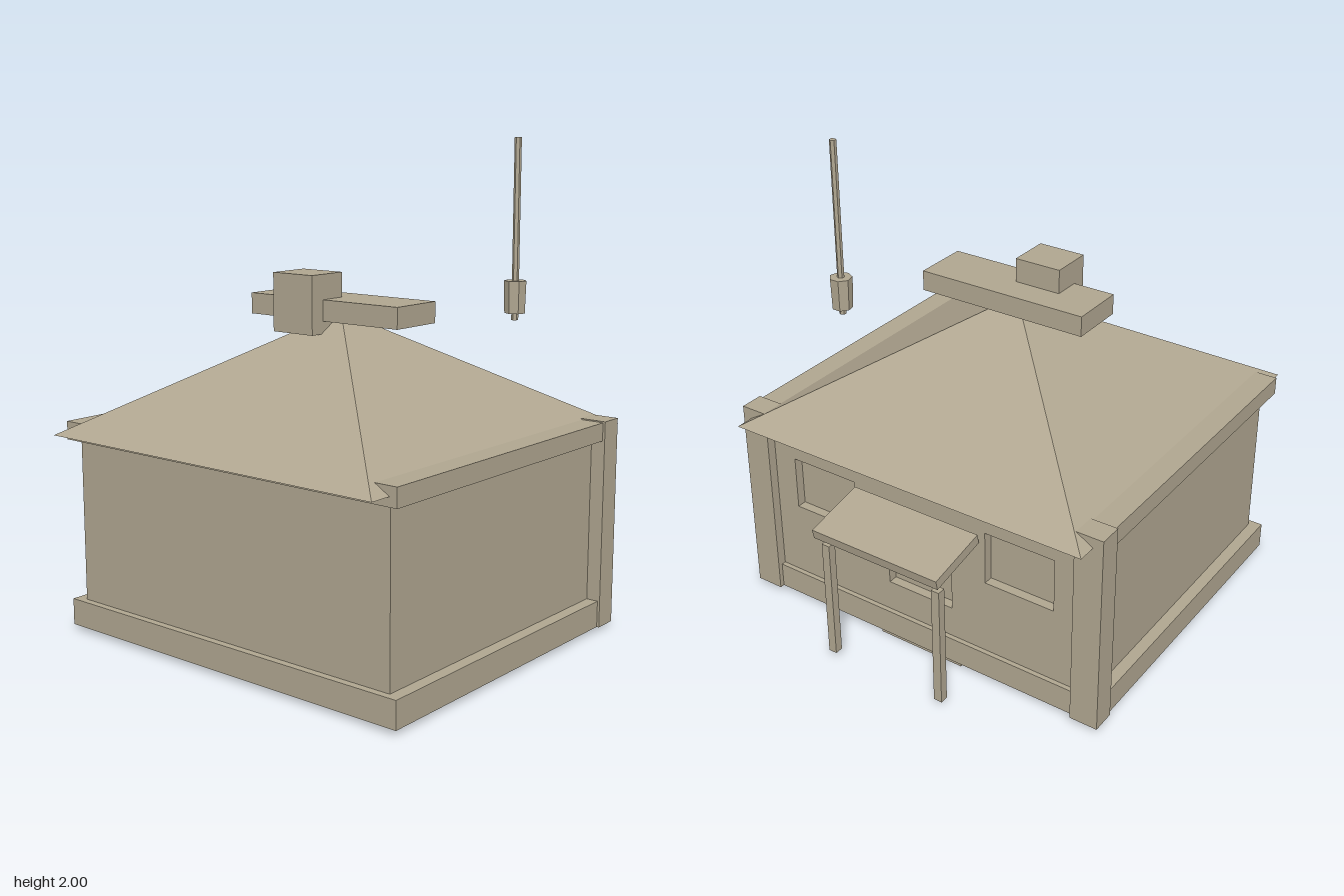
import * as THREE from 'three';

const mat = new THREE.MeshStandardMaterial({ color: 0xb0a690, flatShading: true });

export function createModel() {
  const house = new THREE.Group();
  house.name = 'house';

  const add = (name, geometry, x = 0, y = 0, z = 0) => {
    const mesh = new THREE.Mesh(geometry, mat);
    mesh.name = name;
    mesh.position.set(x, y, z);
    house.add(mesh);
    return mesh;
  };
  // Box given by its extents on each axis
  const box = (name, [x0, x1], [y0, y1], [z0, z1]) =>
    add(name, new THREE.BoxGeometry(x1 - x0, y1 - y0, z1 - z0),
      (x0 + x1) / 2, (y0 + y1) / 2, (z0 + z1) / 2);

  // Walls, plinth and the band below the eaves
  box('walls', [-0.79, 0.79], [0.03, 0.85], [-0.57, 0.76]);
  box('plinth', [-0.84, 0.84], [0.02, 0.13], [-0.63, 0.79]);
  box('eaveBand', [-0.84, 0.84], [0.8, 0.875], [-0.62, 0.79]);
  box('threshold', [-0.2, 0.2], [0, 0.03], [-0.62, -0.58]);

  // Back wall with three recessed window openings
  const wall = new THREE.Shape();
  wall.moveTo(-0.79, 0.1).lineTo(0.79, 0.1).lineTo(0.79, 0.82).lineTo(-0.79, 0.82).closePath();
  for (const [cx, cy] of [[-0.47, 0.57], [0, 0.38], [0.47, 0.57]]) {
    const w = 0.155, h = 0.115;
    const hole = new THREE.Path();
    hole.moveTo(cx - w, cy - h).lineTo(cx - w, cy + h).lineTo(cx + w, cy + h).lineTo(cx + w, cy - h).closePath();
    wall.holes.push(hole);
  }
  add('backWall', new THREE.ExtrudeGeometry(wall, { depth: 0.05, bevelEnabled: false }), 0, 0, -0.61);

  // Corner posts at the back
  for (const s of [-1, 1]) {
    const post = box('cornerPost', [0.73, 0.85], [0.02, 0.88], [-0.65, -0.55]);
    post.position.x *= s;
  }

  // Pyramid roof, capped by a ridge plank and a chimney
  const roof = new THREE.ConeGeometry(0.808 * Math.SQRT2, 0.48, 4);
  roof.rotateY(Math.PI / 4);
  add('roof', roof, 0, 0.837 + 0.24, 0.077);
  box('ridgePlank', [-0.375, 0.375], [1.29, 1.375], [-0.045, 0.195]);
  box('chimney', [-0.195, 0.008], [1.24, 1.475], [0.08, 0.26]);

  // Sloping porch canopy on two posts
  const canopy = add('porchRoof', new THREE.BoxGeometry(0.59, 0.042, 0.27), 0, 0.633, -0.757);
  canopy.rotation.x = -0.205;
  for (const x of [-0.265, 0.26]) {
    box('porchPost', [x - 0.018, x + 0.018], [0.03, 0.55], [-0.863, -0.828]);
  }

  // Hanging lantern on its rod
  const lx = 0.522, lz = -0.38;
  add('lanternRod', new THREE.CylinderGeometry(0.014, 0.014, 0.72, 6), lx, 1.64, lz);
  add('lantern', new THREE.CylinderGeometry(0.046, 0.042, 0.13, 7), lx, 1.373, lz);

  return house;
}
